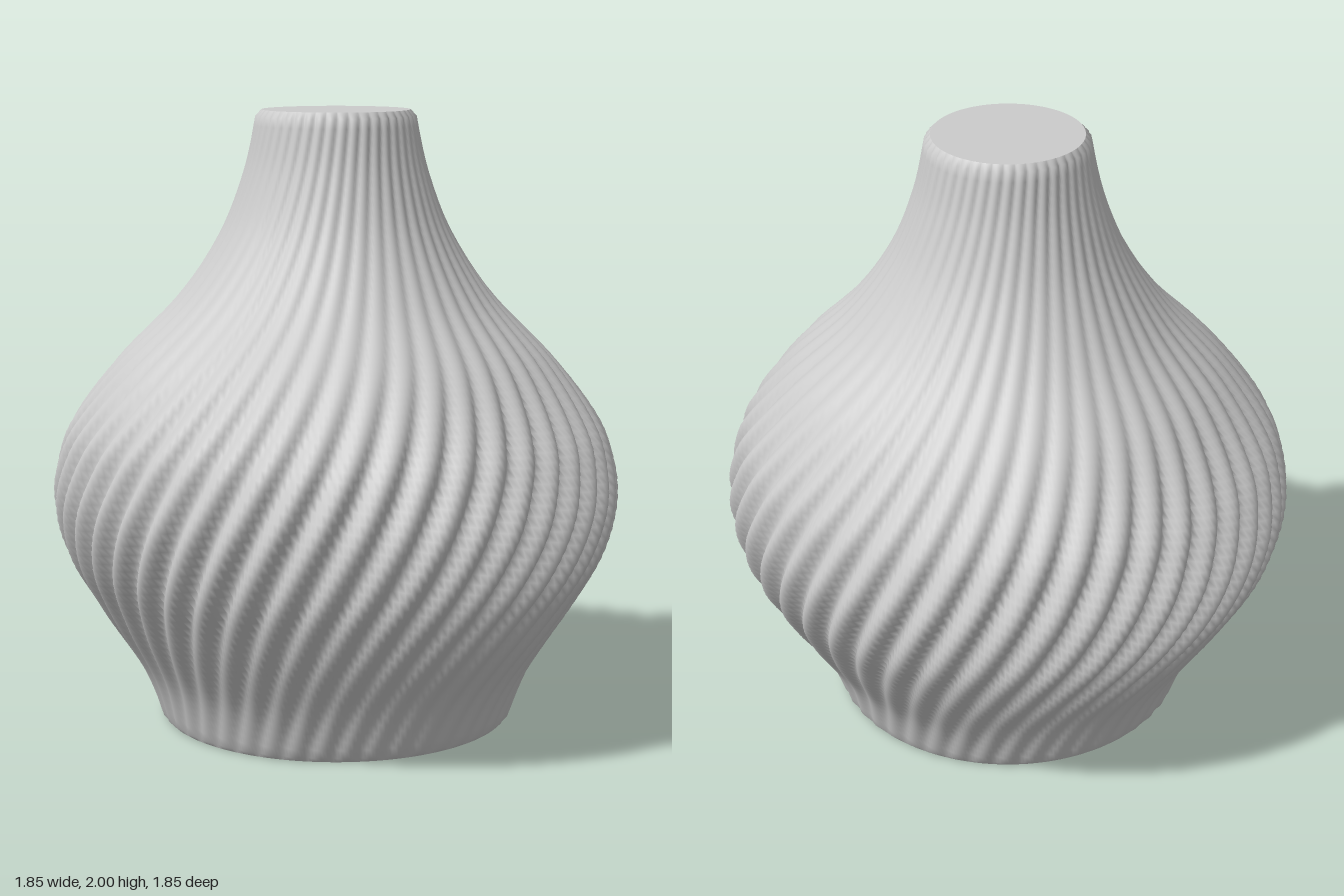
import * as THREE from 'three';
import { mergeVertices } from 'three/addons/utils/BufferGeometryUtils.js';

const RIBS = 45, STEPS = 8, ROWS = 72;
const BASE_R = 0.57, TOP_R = 0.24;

// Outer silhouette as [radius, height]
const PROFILE = [
  [0.585, 0.015], [0.65, 0.18], [0.79, 0.4], [0.89, 0.58], [0.928, 0.75], [0.905, 0.9],
  [0.85, 1.02], [0.71, 1.2], [0.515, 1.4], [0.38, 1.6], [0.3, 1.8], [0.26, 1.98],
];

// Groove depth: deepest at the belly, fading toward base and neck
const grooveDepth = (y) => 0.008 + 0.05 * Math.exp(-(((y - 0.75) / 0.42) ** 2));

// Angle a rib has turned by at height y
const twist = (y) => 0.62 * y - 0.05 * y * y;

function createBody() {
  const curve = new THREE.SplineCurve(PROFILE.map(([r, y]) => new THREE.Vector2(r, y)));
  const points = [new THREE.Vector2(BASE_R, 0), ...curve.getSpacedPoints(ROWS), new THREE.Vector2(TOP_R, 2)];
  let geometry = new THREE.LatheGeometry(points, RIBS * STEPS);

  // Press sharp twisted grooves between rounded ribs
  const pos = geometry.attributes.position;
  for (let i = 0; i < pos.count; i++) {
    const x = pos.getX(i), y = pos.getY(i), z = pos.getZ(i);
    if (y < 0.001 || y > 1.999) continue;
    const phase = (RIBS / 2) * (Math.atan2(x, z) - twist(y));
    const r = Math.hypot(x, z);
    const k = 1 - (grooveDepth(y) * (1 - Math.abs(Math.sin(phase)))) / r;
    pos.setXYZ(i, x * k, y, z * k);
  }

  // Weld the seam so the shading is continuous
  geometry.deleteAttribute('uv');
  geometry.deleteAttribute('normal');
  geometry = mergeVertices(geometry, 1e-5);
  geometry.computeVertexNormals();
  return geometry;
}

export function createModel() {
  const group = new THREE.Group();
  group.name = 'twistedVase';
  const material = new THREE.MeshStandardMaterial({ color: 0xcccccc });

  const add = (name, geometry) => {
    const mesh = new THREE.Mesh(geometry, material);
    mesh.name = name;
    group.add(mesh);
    return mesh;
  };

  add('ribbedBody', createBody());

  // Flat closed ends
  const top = add('topCap', new THREE.CircleGeometry(TOP_R, RIBS * STEPS));
  top.rotation.x = -Math.PI / 2;
  top.position.y = 2;
  const base = add('baseCap', new THREE.CircleGeometry(BASE_R, RIBS * STEPS));
  base.rotation.x = Math.PI / 2;

  return group;
}
